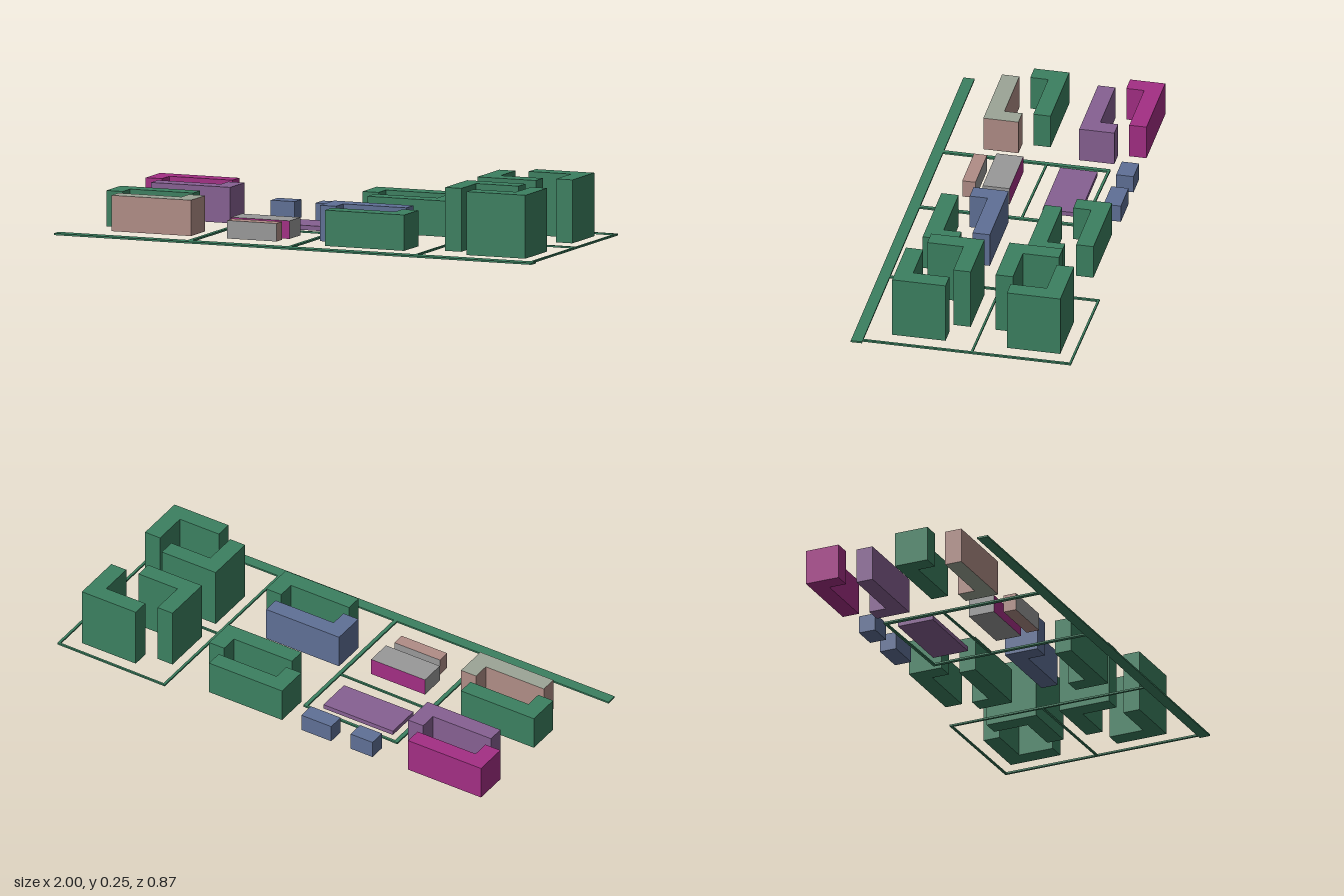
import * as THREE from 'three';

const GREEN = 0x3c8060, BLUE = 0x5f7096, MAGENTA = 0xa32e84, PURPLE = 0x866092;
const GREY = 0x999999, SAGE = 0x9ca596, PINK = 0xb08d86;

export function createModel() {
  const model = new THREE.Group();
  const mat = (color) => new THREE.MeshStandardMaterial({ color, flatShading: true });

  function add(name, geometry, material) {
    const mesh = new THREE.Mesh(geometry, material);
    mesh.name = name;
    model.add(mesh);
    return mesh;
  }

  // Box given by its plan rectangle; colours for the ends (x), top and long faces (z)
  function block(name, x0, x1, z0, z1, h, top, ends = top, faces = top) {
    const geo = new THREE.BoxGeometry(x1 - x0, h, z1 - z0);
    geo.translate((x0 + x1) / 2, h / 2, (z0 + z1) / 2);
    add(name, geo, [ends, ends, top, top, faces, faces].map(mat));
  }

  // L-shaped building: outer corner, signed arm lengths along x and z
  const T = 0.068;
  function ell(name, cx, cz, a, b, h, top, side = top) {
    const tx = T * Math.sign(a), tz = T * Math.sign(b);
    const plan = [[0, 0], [a, 0], [a, tz], [tx, tz], [tx, b], [0, b]]
      .map(([x, z]) => new THREE.Vector2(cx + x, -(cz + z)));
    const geo = new THREE.ExtrudeGeometry(new THREE.Shape(plan), { depth: h, bevelEnabled: false });
    geo.rotateX(-Math.PI / 2);
    add(name, geo, [mat(top), mat(side)]);
  }

  // Flat road strip between two plan points
  function road(name, x0, z0, x1, z1, width) {
    const dx = x1 - x0, dz = z1 - z0, h = 0.007;
    const mesh = add(name, new THREE.BoxGeometry(Math.hypot(dx, dz), h, width), mat(GREEN));
    mesh.position.set((x0 + x1) / 2, h / 2, (z0 + z1) / 2);
    mesh.rotation.y = -Math.atan2(dz, dx);
  }

  // Mid-rise courtyard blocks: each is two L shapes facing each other
  const courtyards = [
    // x, z, back colours, front colours
    [-0.91, -0.382, [MAGENTA], [PURPLE]],
    [-0.91, -0.005, [GREEN], [SAGE, PINK]],
    [0.0, -0.375, [GREEN], [GREEN]],
    [0.0, 0.032, [BLUE], [GREEN]],
  ];
  for (const [x, z, back, front] of courtyards) {
    ell('courtyardBlockBack', x, z, 0.332, 0.138, 0.139, ...back);
    ell('courtyardBlockFront', x + 0.402, z + 0.249, -0.332, -0.138, 0.139, ...front);
  }

  // Towers
  const H = 0.246;
  ell('towerBackWest', 0.545, -0.092, 0.245, -0.21, H, GREEN);
  ell('towerBackEast', 0.912, -0.373, -0.245, 0.21, H, GREEN);
  ell('towerFrontWest', 0.545, 0.006, 0.245, 0.21, H, GREEN);
  ell('towerFrontEast', 0.912, 0.288, -0.245, -0.21, H, GREEN);

  // Low buildings and sports field
  block('smallHouseWest', -0.42, -0.32, -0.388, -0.32, 0.07, BLUE);
  block('smallHouseEast', -0.232, -0.096, -0.388, -0.32, 0.07, BLUE);
  block('sportsField', -0.41, -0.094, -0.227, -0.08, 0.018, PURPLE);
  block('schoolHall', -0.375, -0.13, 0.057, 0.163, 0.07, GREY, GREY, MAGENTA);
  block('schoolAnnex', -0.355, -0.148, 0.195, 0.247, 0.07, PINK, PINK, GREY);

  // Roads
  road('mainRoad', -1, 0.409, 1, 0.409, 0.044);
  road('schoolRoadWest', -0.448, -0.265, -0.448, 0.388, 0.017);
  road('schoolRoadEast', -0.03, -0.257, -0.03, 0.388, 0.015);
  road('schoolRoadBack', -0.456, -0.263, -0.023, -0.254, 0.01);
  road('schoolRoadMiddle', -0.44, -0.019, -0.037, -0.012, 0.008);
  road('towerRoadWest', 0.5, -0.435, 0.5, 0.388, 0.01);
  road('towerRoadEast', 0.982, -0.43, 0.982, 0.388, 0.01);
  road('towerRoadBack', 0.495, -0.432, 0.987, -0.427, 0.008);
  road('towerRoadMiddle', 0.5, -0.045, 0.982, -0.04, 0.008);

  return model;
}
